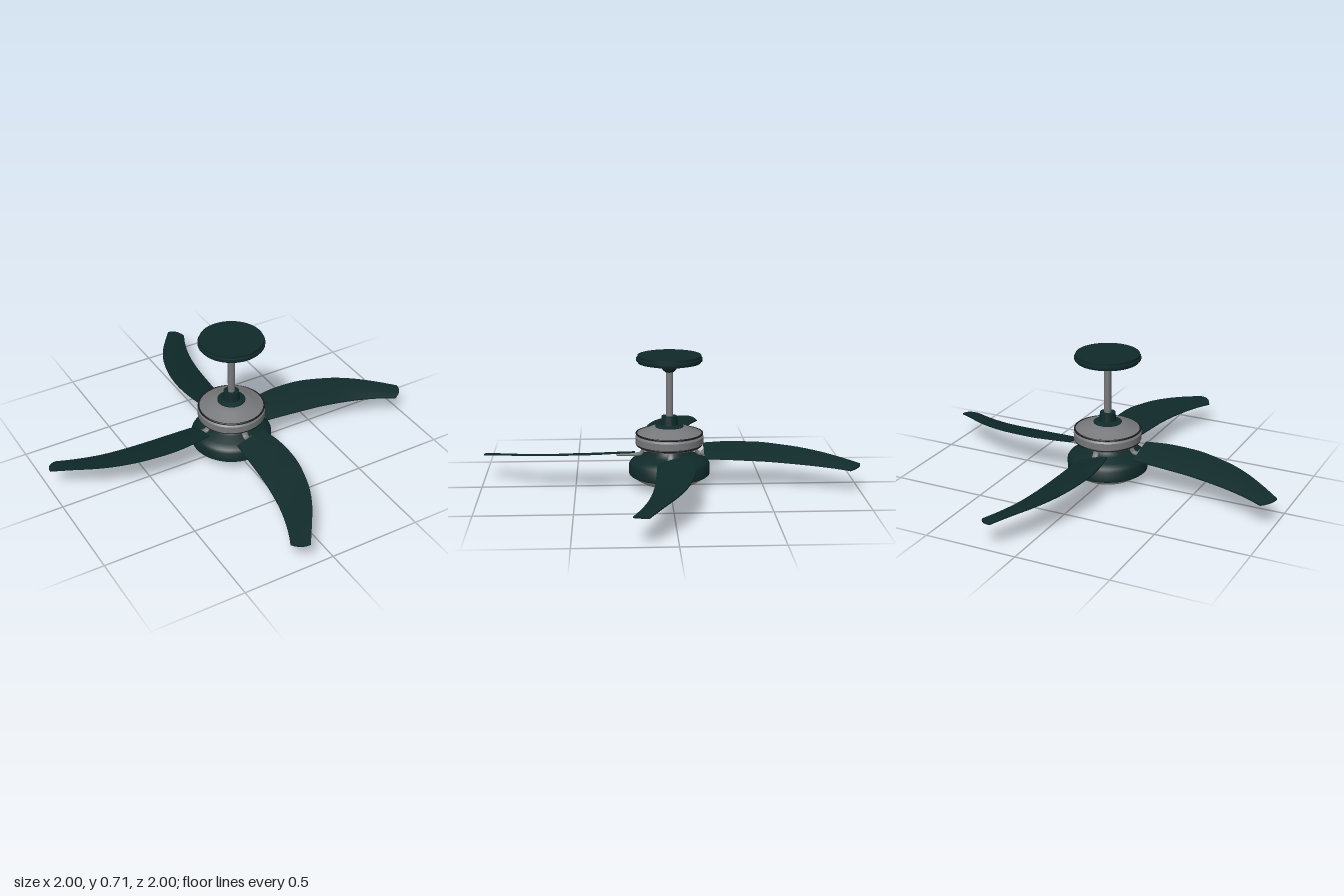
import * as THREE from 'three';
import { toCreasedNormals } from 'three/addons/utils/BufferGeometryUtils.js';

const mat = (name, color, side = THREE.FrontSide) => {
  const m = new THREE.MeshStandardMaterial({ color, side });
  m.name = name;
  return m;
};

export function createModel() {
  const fan = new THREE.Group();
  fan.name = 'ceilingFan';
  const green = mat('darkGreen', 0x102a2a);
  const grey = mat('metalGrey', 0x78797c);
  const glass = mat('lampGlass', 0xa6a6a2);
  const black = mat('blackTrim', 0x1c1c1e);

  const add = (parent, name, geometry, material) => {
    const mesh = new THREE.Mesh(geometry, material);
    mesh.name = name;
    parent.add(mesh);
    return mesh;
  };
  // Turned part; profile is [radius, y] from bottom to top
  const turned = (name, profile, material) => {
    const pts = profile.map(([r, y]) => new THREE.Vector2(r, y));
    return add(fan, name, toCreasedNormals(new THREE.LatheGeometry(pts, 48), 0.6), material);
  };

  // Ceiling mount and rod
  turned('canopy', [[0, 0.65], [0.05, 0.652], [0.13, 0.66], [0.165, 0.668], [0.168, 0.678],
    [0.175, 0.68], [0.175, 0.693], [0.168, 0.695], [0.168, 0.708], [0, 0.708]], green);
  turned('hangerBall', [[0, 0.615], [0.022, 0.617], [0.036, 0.63], [0.042, 0.645], [0.042, 0.655]], green);
  turned('rod', [[0.019, 0.36], [0.019, 0.63]], grey);
  turned('collar', [[0.075, 0.315], [0.075, 0.327], [0.046, 0.334], [0.041, 0.38], [0, 0.38]], green);

  // Motor housing
  turned('motorHousing', [[0, 0.205], [0.12, 0.207], [0.165, 0.216], [0.172, 0.225], [0.172, 0.232],
    [0.181, 0.235], [0.181, 0.27], [0.174, 0.278], [0.174, 0.284], [0.178, 0.287], [0.15, 0.295],
    [0.115, 0.311], [0.08, 0.323], [0, 0.325]], grey);
  for (const [r, y] of [[0.175, 0.287], [0.173, 0.228]]) {
    const ring = add(fan, 'motorTrimRing', new THREE.TorusGeometry(r, 0.005, 8, 48), black);
    ring.rotation.x = Math.PI / 2;
    ring.position.y = y;
  }

  // Light kit
  turned('lightKit', [[0, 0.062], [0.208, 0.062], [0.215, 0.068], [0.215, 0.122], [0.205, 0.137], [0.175, 0.153],
    [0.125, 0.168], [0.1, 0.18], [0.09, 0.195], [0.1, 0.215], [0, 0.215]], green);
  turned('lampBowl', [[0, 0], [0.06, 0.003], [0.11, 0.011], [0.15, 0.024], [0.178, 0.042], [0.19, 0.063]], glass);

  // Blade and bracket, repeated every quarter turn
  const blade = bladeGeometry();
  const armCurve = new THREE.CatmullRomCurve3([[0.135, 0.215], [0.143, 0.19], [0.155, 0.175], [0.19, 0.172], [0.28, 0.174]]
    .map(([x, y]) => new THREE.Vector3(x, y, 0)));
  const arm = new THREE.TubeGeometry(armCurve, 20, 0.01, 8);
  arm.scale(1, 1, 1.7);
  const pad = new THREE.BoxGeometry(0.11, 0.012, 0.042);
  for (let i = 0; i < 4; i++) {
    const unit = new THREE.Group();
    unit.name = 'bladeUnit';
    unit.rotation.y = i * Math.PI / 2;
    add(unit, 'blade', blade, green);
    add(unit, 'bracketArm', arm, grey);
    const plate = add(unit, 'bracketPlate', pad, grey);
    plate.position.set(0.23, 0.175, -0.005);
    plate.rotation.x = 0.25;
    fan.add(unit);
  }
  return fan;
}

// Swept, pitched blade lofted along +x between a back and a front edge
function bladeGeometry() {
  const curve = pts => new THREE.CatmullRomCurve3(pts.map(p => new THREE.Vector3(...p)));
  const back = curve([[0.185, 0.209, -0.088], [0.3, 0.21, -0.108], [0.4, 0.207, -0.113], [0.5, 0.204, -0.105],
    [0.6, 0.196, -0.083], [0.7, 0.188, -0.05], [0.8, 0.177, 0], [0.9, 0.163, 0.066], [0.97, 0.15, 0.115], [0.999, 0.144, 0.135]]);
  const front = curve([[0.185, 0.165, 0.07], [0.3, 0.162, 0.078], [0.4, 0.158, 0.085], [0.5, 0.154, 0.093],
    [0.6, 0.148, 0.106], [0.7, 0.142, 0.125], [0.78, 0.138, 0.147], [0.86, 0.134, 0.176], [0.91, 0.131, 0.198], [0.938, 0.129, 0.212]]);
  const N = 40, M = 6, t = 0.007, pos = [], idx = [];
  for (let i = 0; i <= N; i++) {
    const a = back.getPoint(i / N), b = front.getPoint(i / N);
    const bulge = 0.016 * Math.max(0, (i / N - 0.9) * 10);
    for (let k = 0; k < 2 * (M + 1); k++) {
      const top = k <= M;
      const s = top ? k / M : (2 * M + 1 - k) / M;
      const p = a.clone().lerp(b, s);
      const round = 4 * s * (1 - s);
      pos.push(p.x + bulge * round, p.y + 0.004 * round - (top ? 0 : t), p.z + bulge * round * 0.5);
    }
  }
  const R = 2 * (M + 1);
  for (let i = 0; i < N; i++) {
    for (let k = 0; k < R; k++) {
      const a = i * R + k, b = i * R + (k + 1) % R;
      idx.push(a, b, a + R, b, b + R, a + R);
    }
  }
  // End caps
  for (let k = 0; k < M; k++) {
    const q = [k, k + 1, 2 * M - k, 2 * M + 1 - k];
    idx.push(q[0], q[2], q[1], q[0], q[3], q[2]);
    const e = q.map(v => v + N * R);
    idx.push(e[0], e[1], e[2], e[0], e[2], e[3]);
  }
  const g = new THREE.BufferGeometry();
  g.setAttribute('position', new THREE.Float32BufferAttribute(pos, 3));
  g.setIndex(idx);
  return toCreasedNormals(g, 0.7);
}
